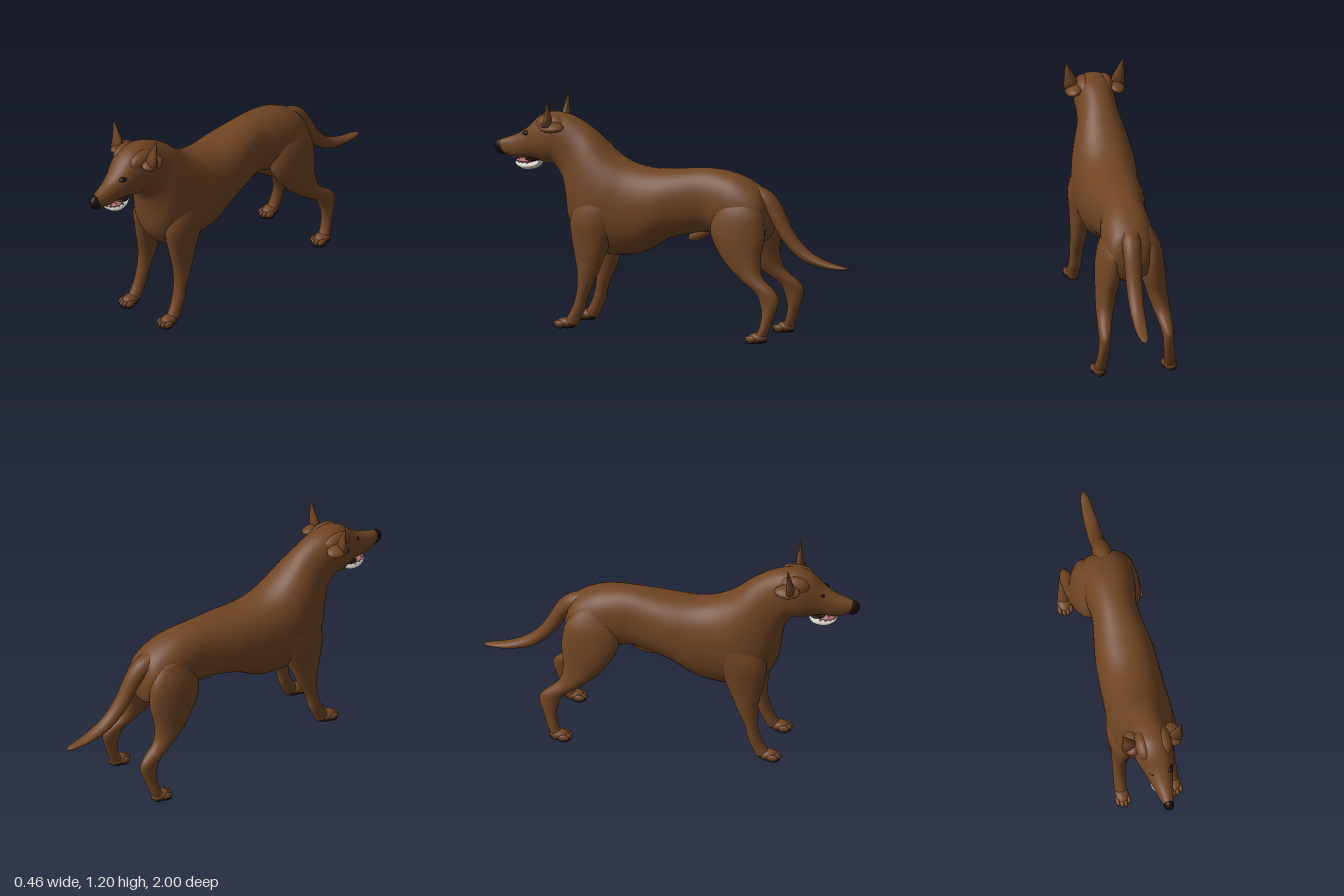
import * as THREE from 'three';

const mat = (name, color) => Object.assign(new THREE.MeshStandardMaterial({ color }), { name });

// Catmull-Rom value between b and c
const spline = (a, b, c, d, t) =>
  0.5 * (2 * b + (c - a) * t + (2 * a - 5 * b + 4 * c - d) * t * t + (3 * b - a - 3 * c + d) * t * t * t);

// Smooth skin over oval sections: [z1, y1, z2, y2, halfWidth, xCentre]
function loft(rows, { steps = 4, sides = 28, power = 1 } = {}) {
  const rings = [], last = rows.length - 1;
  for (let i = 0; i < last; i++) {
    const q = [-1, 0, 1, 2].map(k => rows[Math.min(last, Math.max(0, i + k))]);
    for (let s = 0; s < steps; s++) rings.push(q[1].map((_, j) => spline(q[0][j], q[1][j], q[2][j], q[3][j], s / steps)));
  }
  rings.push(rows[last]);
  const pos = [], idx = [];
  const bend = v => Math.sign(v) * Math.abs(v) ** power;
  for (const [z1, y1, z2, y2, w, x] of rings) {
    for (let k = 0; k < sides; k++) {
      const a = k / sides * Math.PI * 2, c = bend(Math.cos(a)), h = bend(Math.sin(a)) / 2;
      pos.push(x + w * c, (y1 + y2) / 2 + h * (y1 - y2), (z1 + z2) / 2 + h * (z1 - z2));
    }
  }
  for (let r = 0; r < rings.length - 1; r++) {
    for (let k = 0; k < sides; k++) {
      const a = r * sides + k, b = r * sides + (k + 1) % sides;
      idx.push(a, b, a + sides, b, b + sides, a + sides);
    }
  }
  // end caps
  [0, rings.length - 1].forEach((r, end) => {
    const [z1, y1, z2, y2, , x] = rings[r], centre = pos.length / 3;
    pos.push(x, (y1 + y2) / 2, (z1 + z2) / 2);
    for (let k = 0; k < sides; k++) {
      const a = r * sides + k, b = r * sides + (k + 1) % sides;
      idx.push(...(end ? [centre, a, b] : [centre, b, a]));
    }
  });
  // turn faces outward if the enclosed volume is negative
  const p = i => new THREE.Vector3().fromArray(pos, i * 3);
  let volume = 0;
  for (let i = 0; i < idx.length; i += 3) volume += p(idx[i]).dot(p(idx[i + 1]).cross(p(idx[i + 2])));
  if (volume < 0) idx.reverse();
  const g = new THREE.BufferGeometry();
  g.setAttribute('position', new THREE.Float32BufferAttribute(pos, 3));
  g.setIndex(idx);
  g.computeVertexNormals();
  return g;
}

export function createModel() {
  const dog = new THREE.Group();
  dog.name = 'dog';
  const coat = mat('brown coat', 0x704523), dark = mat('dark nose and pads', 0x1c0a0a);
  const white = mat('ivory teeth', 0xd6d2c8), pink = mat('pink tongue', 0xb87078);

  const add = (name, geometry, material, parent = dog) => {
    const m = new THREE.Mesh(geometry, material);
    m.name = name;
    parent.add(m);
    return m;
  };
  const blob = (name, material, at, size, parent = dog, rx = 0) => {
    const m = add(name, new THREE.SphereGeometry(1, 20, 14), material, parent);
    m.position.set(...at);
    m.scale.set(...size);
    m.rotation.x = rx;
    return m;
  };

  // trunk, neck and upper head in one skin
  add('body', loft([
    [-0.54, 0.72, -0.56, 0.62, 0.07, 0.012],
    [-0.5, 0.785, -0.54, 0.52, 0.115, 0.012],
    [-0.4, 0.84, -0.42, 0.49, 0.138, 0.01],
    [-0.3, 0.865, -0.3, 0.51, 0.132, 0.005],
    [-0.2, 0.872, -0.21, 0.54, 0.122, 0],
    [-0.1, 0.865, -0.08, 0.515, 0.138, 0],
    [0, 0.855, 0.03, 0.48, 0.156, 0],
    [0.12, 0.852, 0.15, 0.41, 0.163, 0],
    [0.22, 0.87, 0.27, 0.385, 0.166, 0],
    [0.3, 0.908, 0.4, 0.39, 0.172, 0],
    [0.36, 0.955, 0.5, 0.44, 0.163, 0],
    [0.42, 1.01, 0.565, 0.54, 0.142, 0],
    [0.48, 1.053, 0.585, 0.66, 0.118, 0],
    [0.54, 1.085, 0.605, 0.76, 0.106, 0],
    [0.6, 1.105, 0.655, 0.835, 0.104, 0],
    [0.68, 1.112, 0.7, 0.838, 0.103, 0],
    [0.75, 1.083, 0.745, 0.853, 0.088, 0.002],
    [0.81, 1.025, 0.8, 0.862, 0.068, 0.005],
    [0.87, 0.985, 0.87, 0.857, 0.05, 0.008],
    [0.93, 0.962, 0.92, 0.867, 0.038, 0.011],
    [0.97, 0.948, 0.952, 0.88, 0.027, 0.013],
  ], { sides: 40, power: 0.9 }), coat);

  add('tail', loft([
    [-0.47, 0.8, -0.5, 0.7, 0.05, 0.01],
    [-0.545, 0.775, -0.535, 0.67, 0.05, 0.012],
    [-0.61, 0.71, -0.56, 0.63, 0.046, 0.015],
    [-0.685, 0.57, -0.625, 0.525, 0.042, 0.018],
    [-0.77, 0.477, -0.735, 0.425, 0.038, 0.02],
    [-0.877, 0.425, -0.87, 0.388, 0.032, 0.02],
    [-0.97, 0.404, -0.97, 0.385, 0.02, 0.02],
    [-1, 0.394, -1, 0.39, 0.005, 0.02],
  ]), coat);
  blob('belly sheath', coat, [0, 0.522, -0.155], [0.026, 0.03, 0.075], dog, 0.42);

  // nose and mouth
  add('nose', loft([
    [0.965, 0.953, 0.945, 0.87, 0.028, 0.013],
    [0.982, 0.947, 0.965, 0.872, 0.026, 0.013],
    [0.996, 0.932, 0.985, 0.885, 0.018, 0.013],
    [1, 0.918, 0.996, 0.905, 0.006, 0.013],
  ]), dark);
  add('lowerJaw', loft([
    [0.735, 0.858, 0.74, 0.83, 0.035, 0.005],
    [0.765, 0.848, 0.765, 0.806, 0.05, 0.005],
    [0.82, 0.843, 0.82, 0.797, 0.052, 0.007],
    [0.862, 0.841, 0.858, 0.812, 0.038, 0.009],
    [0.88, 0.838, 0.878, 0.826, 0.016, 0.01],
  ]), white);
  blob('tongue', pink, [0.008, 0.846, 0.822], [0.047, 0.013, 0.055]);
  blob('mouthLining', dark, [0.006, 0.857, 0.78], [0.056, 0.01, 0.045]);
  for (let i = 0; i < 9; i++) {
    const a = Math.PI * i / 8, tooth = new THREE.ConeGeometry(0.005, 0.016, 6);
    add('lowerTooth', tooth, white).position.set(0.008 + 0.047 * Math.cos(a), 0.845, 0.8 + 0.07 * Math.sin(a));
    const upper = add('upperTooth', tooth, white);
    upper.position.set(0.01 + 0.042 * Math.cos(a), 0.86, 0.81 + 0.09 * Math.sin(a));
    upper.rotation.x = Math.PI;
  }

  // four-toed paw with dark sole, toes pointing forward
  const paw = (name, x, z) => {
    const g = new THREE.Group();
    g.name = name;
    g.position.set(x, 0, z);
    dog.add(g);
    blob('foot', coat, [0, 0.03, 0], [0.036, 0.027, 0.052], g);
    blob('heelPad', dark, [0, 0.011, -0.005], [0.033, 0.011, 0.043], g);
    for (let i = 0; i < 4; i++) {
      const tx = (i - 1.5) * 0.019, tz = 0.046 - Math.abs(i - 1.5) * 0.012;
      blob('toe', coat, [tx, 0.024, tz], [0.0125, 0.018, 0.03], g);
      blob('toePad', dark, [tx, 0.008, tz], [0.0115, 0.008, 0.026], g);
    }
  };

  for (const s of [1, -1]) {
    const side = s > 0 ? 'left' : 'right';
    const limb = rows => loft(rows.map(r => [...r.slice(0, 5), r[5] * s]));

    add(side + 'FrontLeg', limb([
      [0.43, 0.78, 0.24, 0.8, 0.03, 0.08],
      [0.49, 0.68, 0.23, 0.69, 0.06, 0.103],
      [0.53, 0.57, 0.27, 0.57, 0.072, 0.111],
      [0.52, 0.47, 0.31, 0.45, 0.06, 0.115],
      [0.502, 0.38, 0.34, 0.38, 0.05, 0.12],
      [0.486, 0.3, 0.375, 0.29, 0.042, 0.125],
      [0.486, 0.2, 0.42, 0.19, 0.035, 0.131],
      [0.505, 0.125, 0.437, 0.115, 0.033, 0.135],
      [0.532, 0.07, 0.463, 0.055, 0.032, 0.137],
      [0.555, 0.04, 0.48, 0.015, 0.03, 0.138],
    ]), coat);
    paw(side + 'FrontPaw', s * 0.138, 0.543);

    add(side + 'HindLeg', limb([
      [-0.34, 0.78, -0.47, 0.76, 0.035, 0.07],
      [-0.28, 0.67, -0.54, 0.67, 0.062, 0.098],
      [-0.26, 0.55, -0.56, 0.55, 0.07, 0.111],
      [-0.345, 0.41, -0.545, 0.43, 0.056, 0.132],
      [-0.45, 0.32, -0.565, 0.34, 0.044, 0.15],
      [-0.535, 0.26, -0.64, 0.275, 0.034, 0.163],
      [-0.562, 0.2, -0.665, 0.225, 0.028, 0.168],
      [-0.572, 0.14, -0.638, 0.135, 0.028, 0.174],
      [-0.557, 0.07, -0.612, 0.06, 0.031, 0.182],
      [-0.535, 0.04, -0.593, 0.015, 0.03, 0.186],
    ]), coat);
    paw(side + 'HindPaw', s * 0.187, -0.555);

    // pointed ear with a folded flap at its base
    add(side + 'Ear', loft([
      [0.685, 1.05, 0.635, 1.05, 0.038, s * 0.125],
      [0.672, 1.095, 0.637, 1.095, 0.034, s * 0.126],
      [0.655, 1.2, 0.651, 1.2, 0.002, s * 0.152],
    ], { steps: 1, sides: 8 }), coat);
    blob(side + 'EarFlap', coat, [s * 0.113, 1.045, 0.64], [0.045, 0.024, 0.068]).rotation.z = -s * 0.3;
    blob(side + 'Temple', coat, [s * 0.055, 1.048, 0.665], [0.045, 0.055, 0.085]);

    blob(side + 'Eye', dark, [0.011 + s * 0.044, 0.997, 0.8], [0.019, 0.012, 0.025]);
  }
  return dog;
}
